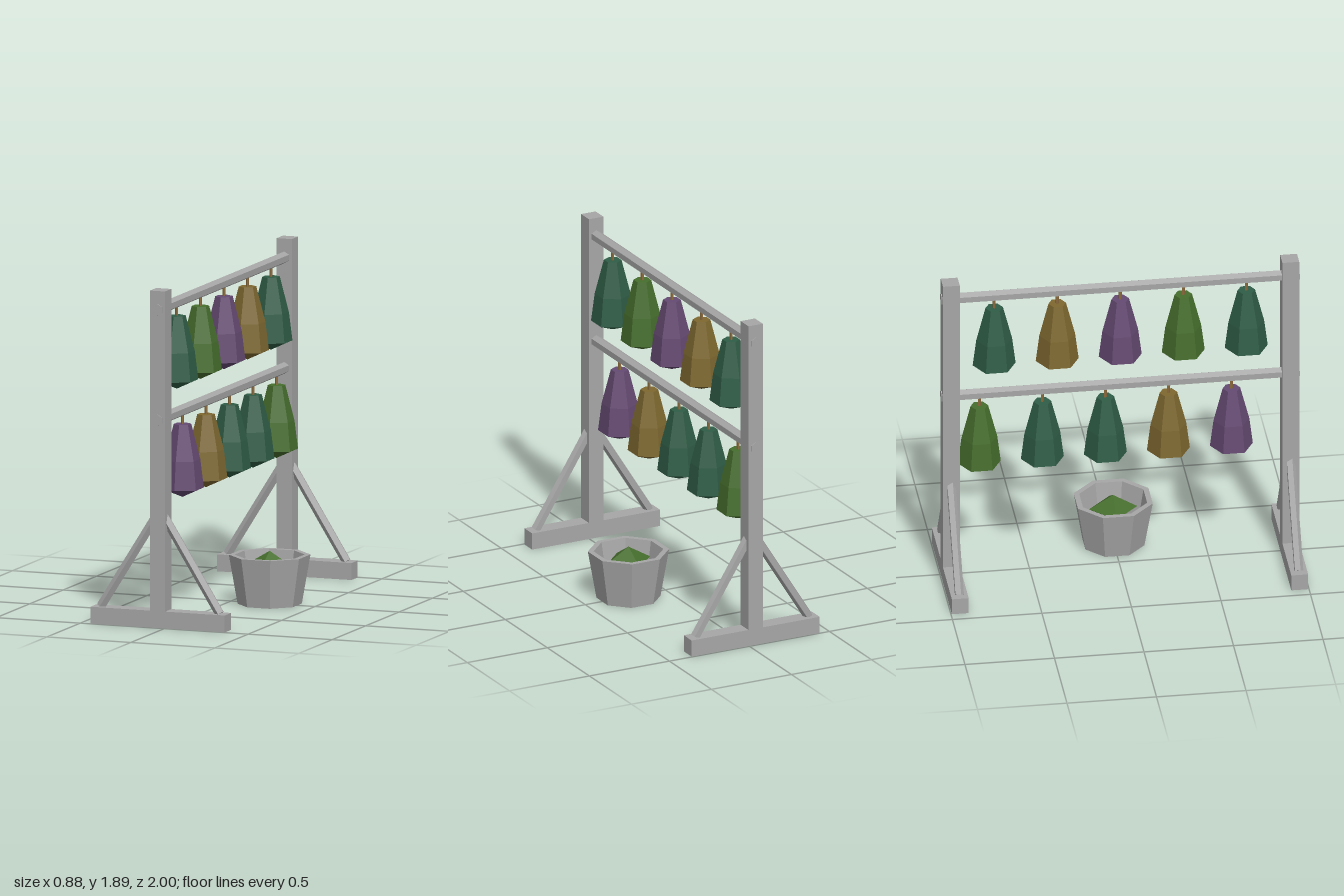
import * as THREE from 'three';

const material = (name, color) => {
  const m = new THREE.MeshStandardMaterial({ color });
  m.name = name;
  return m;
};

// Split the faces so every facet is flat
function faceted(geometry) {
  const g = geometry.index ? geometry.toNonIndexed() : geometry;
  g.computeVertexNormals();
  return g;
}

function lathe(profile, sides, start = 0) {
  const points = profile.map(([r, y]) => new THREE.Vector2(r, y));
  return faceted(new THREE.LatheGeometry(points, sides, start));
}

export function createModel() {
  const grey = material('weathered grey', 0xa6a6a6);
  const twine = material('twine brown', 0x8a6a3c);
  const teal = material('dark green', 0x2f5d46);
  const leaf = material('leaf green', 0x466e2d);
  const purple = material('purple', 0x654a72);
  const ochre = material('ochre', 0x7e6830);

  const model = new THREE.Group();
  model.name = 'dryingRack';
  const add = (parent, name, geometry, mat, x = 0, y = 0, z = 0) => {
    const mesh = new THREE.Mesh(geometry, mat);
    mesh.name = name;
    mesh.position.set(x, y, z);
    parent.add(mesh);
    return mesh;
  };
  const rackX = -0.042;

  // End frames: foot, post and two five-sided braces
  const braceStart = new THREE.Vector2(0.353, 0.095);
  const braceEnd = new THREE.Vector2(0.015, 0.634);
  const braceDir = braceEnd.clone().sub(braceStart);
  const braceMid = braceStart.clone().add(braceEnd).multiplyScalar(0.5);
  const braceGeometry = faceted(new THREE.CylinderGeometry(0.027, 0.027, braceDir.length(), 5));
  for (const [name, z] of [['frontFrame', 0.948], ['backFrame', -0.948]]) {
    const frame = new THREE.Group();
    frame.name = name;
    frame.position.set(rackX, 0, z);
    model.add(frame);
    add(frame, 'foot', new THREE.BoxGeometry(0.8, 0.095, 0.094), grey, 0, 0.0475, 0);
    add(frame, 'post', new THREE.BoxGeometry(0.09, 1.89, 0.094), grey, 0, 0.945, 0);
    for (const side of [1, -1]) {
      const brace = add(frame, side > 0 ? 'leftBrace' : 'rightBrace',
        braceGeometry, grey, side * braceMid.x, braceMid.y, 0);
      brace.rotation.z = side * Math.atan2(-braceDir.x, braceDir.y);
    }
  }

  // Rails with their rows of hanging bundles
  const railGeometry = faceted(new THREE.CylinderGeometry(0.033, 0.033, 2, 6));
  const bundleGeometry = lathe(
    [[0, -0.41], [0.12, -0.36], [0.1, -0.2], [0.049, 0], [0, 0]], 6);
  const stringGeometry = faceted(new THREE.CylinderGeometry(0.009, 0.009, 0.08, 5));
  const rows = [
    { name: 'upper', y: 1.785, z: 0.705, colours: [teal, leaf, purple, ochre, teal] },
    { name: 'lower', y: 1.165, z: 0.622, colours: [purple, ochre, teal, teal, leaf] },
  ];
  for (const row of rows) {
    const rail = add(model, row.name + 'Rail', railGeometry, grey, rackX, row.y, 0);
    rail.rotation.x = Math.PI / 2;
    row.colours.forEach((colour, i) => {
      const hanging = new THREE.Group();
      hanging.name = row.name + 'HangingBundle';
      hanging.position.set(rackX, row.y - 0.077, row.z - i * 0.352);
      model.add(hanging);
      add(hanging, 'bundle', bundleGeometry, colour);
      add(hanging, 'string', stringGeometry, twine, 0, 0.03, 0);
    });
  }

  // Eight-sided bucket with a hollow inside and a green heap
  const bucket = new THREE.Group();
  bucket.name = 'bucket';
  bucket.position.set(0.23, 0, 0);
  model.add(bucket);
  add(bucket, 'bucketShell', lathe(
    [[0, 0], [0.178, 0], [0.226, 0.275], [0.194, 0.275], [0.16, 0.08], [0, 0.08]],
    8, Math.PI / 8), grey);
  const heap = new THREE.OctahedronGeometry(0.135).scale(1, 0.6, 1);
  add(bucket, 'heap', faceted(heap), leaf, 0, 0.215, 0);

  return model;
}
